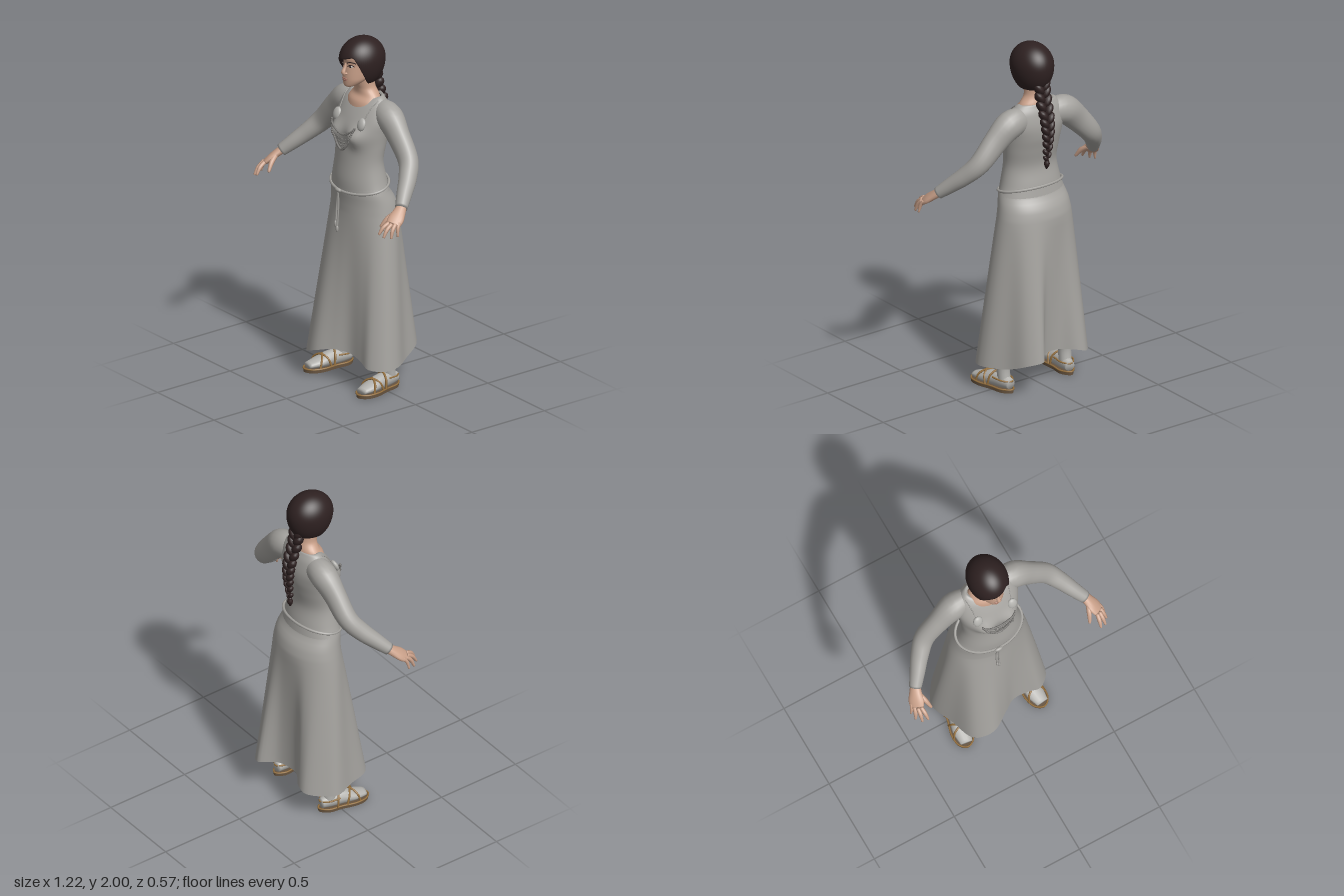
import * as THREE from 'three';

const mat = (name, color, side = THREE.FrontSide) => {
  const m = new THREE.MeshStandardMaterial({ color, side });
  m.name = name;
  return m;
};
const V = (x, y, z) => new THREE.Vector3(x, y, z);

// Smooth interpolation along a table of equally long number rows, t from 0 to 1
function sample(rows, t) {
  const f = Math.min(Math.max(t, 0), 1) * (rows.length - 1);
  const i = Math.min(Math.floor(f), rows.length - 2), u = f - i;
  const p = k => rows[Math.min(Math.max(k, 0), rows.length - 1)];
  return rows[i].map((b, k) => {
    const a = p(i - 1)[k], c = p(i + 1)[k], d = p(i + 2)[k];
    return b + 0.5 * u * (c - a + u * (2 * a - 5 * b + 4 * c - d + u * (3 * (b - c) + d - a)));
  });
}

// Surface through closed rings of points
function skin(rings, capped = true) {
  const n = rings[0].length, pts = rings.flat(), idx = [];
  for (let j = 0; j < rings.length - 1; j++) for (let i = 0; i < n; i++) {
    const a = j * n + i, b = j * n + (i + 1) % n;
    idx.push(a, b, a + n, b, b + n, a + n);
  }
  const cap = (j, flip) => {
    const c = V(0, 0, 0);
    rings[j].forEach(p => c.addScaledVector(p, 1 / n));
    for (let i = 0; i < n; i++) {
      const a = j * n + i, b = j * n + (i + 1) % n;
      idx.push(pts.length, flip ? b : a, flip ? a : b);
    }
    pts.push(c);
  };
  if (capped) {
    cap(0, true);
    cap(rings.length - 1, false);
  }
  const g = new THREE.BufferGeometry().setFromPoints(pts);
  g.setIndex(idx);
  g.computeVertexNormals();
  return g;
}

// Upright body from rows [y, halfWidth, zFront, zBack, frontDip]
const bodyRing = ([y, w, f, b, dip = 0], n, bump) => Array.from({ length: n }, (_, i) => {
  const a = i / n * Math.PI * 2, c = Math.cos(a);
  const p = V(w * Math.sin(a), y - dip * Math.max(0, c) ** 2, (f + b) / 2 + (f - b) / 2 * c);
  if (bump && c > 0) p.z += bump(p.x, p.y);
  return p;
});
const body = (rows, n, steps, bump, capped) =>
  skin(Array.from({ length: steps + 1 }, (_, j) => bodyRing(sample(rows, j / steps), n, bump)), capped);
function frontZ(rows, x, y, bump) {
  let lo = 0, hi = 1;
  for (let k = 0; k < 20; k++) { const m = (lo + hi) / 2; if (sample(rows, m)[0] < y) lo = m; else hi = m; }
  const [, w, f, b] = sample(rows, lo);
  return (f + b) / 2 + (f - b) / 2 * Math.sqrt(Math.max(0, 1 - (x / w) ** 2)) + (bump ? bump(x, y) : 0);
}

// Swept limb from rows [x, y, z, radius along ref, radius across]
function limb(rows, ref = V(0, 0, 1), n = 14, steps = 16) {
  const full = rows.map(r => r.length < 5 ? [...r, r[3]] : r), rings = [];
  const at = t => V(...sample(full, t).slice(0, 3));
  for (let j = 0; j <= steps; j++) {
    const t = j / steps, [, , , rN, rB] = sample(full, t);
    const T = at(t + 0.01).sub(at(t - 0.01)).normalize();
    const N = ref.clone().addScaledVector(T, -ref.dot(T)).normalize(), B = T.clone().cross(N);
    rings.push(Array.from({ length: n }, (_, i) => {
      const a = i / n * Math.PI * 2;
      return at(t).addScaledVector(N, rN * Math.cos(a)).addScaledVector(B, rB * Math.sin(a));
    }));
  }
  return skin(rings);
}
const tube = (pts, r, closed = false, seg = 32) =>
  new THREE.TubeGeometry(new THREE.CatmullRomCurve3(pts, closed), seg, r, 6, closed);

export function createModel() {
  const root = new THREE.Group();
  const gown = mat('grey cloth', 0xa5a39f, THREE.DoubleSide), flesh = mat('skin', 0xc9a089);
  const hairM = mat('dark brown hair', 0x2e2121, THREE.DoubleSide), chainM = mat('dull metal', 0x7a7875);
  const pale = mat('pale wool', 0xb2b1ad), leather = mat('tan leather', 0x96713f);
  const soleM = mat('brown leather', 0x66533f), white = mat('eye white', 0xd6cec6), lip = mat('lips', 0xa97668);
  const add = (name, geo, m, parent = root) => {
    const o = new THREE.Mesh(geo, m);
    o.name = name;
    parent.add(o);
    return o;
  };
  const group = name => {
    const g = new THREE.Group();
    g.name = name;
    root.add(g);
    return g;
  };
  const ball = (name, m, p, s, parent = root, seg = 16) => {
    const o = add(name, new THREE.SphereGeometry(1, seg, Math.ceil(seg * 0.6)), m, parent);
    o.position.set(...p);
    o.scale.set(...s);
    return o;
  };

  // Bodice with a scooped neckline
  const torso = [[1.13, .2, .12, -.14, 0], [1.2, .18, .119, -.128, 0], [1.3, .163, .108, -.112, 0], [1.4, .17, .1, -.13, 0],
    [1.48, .18, .1, -.148, 0], [1.55, .188, .073, -.152, 0], [1.62, .17, .035, -.14, .005], [1.66, .135, .01, -.125, .02],
    [1.673, .112, -.002, -.118, .035], [1.665, .098, -.012, -.108, .035]];
  const bust = (x, y) => .036 * Math.exp(-(((Math.abs(x) - .085) / .05) ** 2) - ((y - 1.455) / .055) ** 2);
  add('bodice', body(torso, 48, 54, bust, false), gown);

  // Skirt blending from waist and hips to an uneven hem, points [x, z, y]
  const hem = new THREE.CatmullRomCurve3([[0, .18, .21], [.08, .13, .2], [.17, .125, .18], [.25, .13, .155],
    [.32, .06, .15], [.32, -.02, .155], [.25, -.13, .16], [.2, -.24, .2], [.12, -.285, .22], [.05, -.2, .22],
    [-.07, -.17, .21], [-.16, -.22, .2], [-.22, -.22, .18], [-.29, -.14, .165], [-.32, -.07, .16], [-.27, .06, .155],
    [-.21, .2, .145], [-.1, .235, .185]].map(([x, z, y]) => V(x, y, z)), true);
  const N = 90, hemRing = Array.from({ length: N }, (_, i) => hem.getPoint(i / N));
  const waist = [[1.0, .228, .115, -.195], [1.07, .215, .115, -.178], [1.13, .2, .12, -.14], [1.17, .187, .119, -.13]];
  const hip = bodyRing(waist[0], N), skirt = [];
  for (let j = 0; j < 16; j++) skirt.push(hemRing.map((p, i) => {
    const f = j / 16, w = 1 - (1 - f) ** .88, h = hip[i];
    return V(p.x + (h.x - p.x) * w, p.y + (h.y - p.y) * f, p.z + (h.z - p.z) * f);
  }));
  for (let j = 0; j <= 8; j++) skirt.push(bodyRing(sample(waist, j / 8), N));
  add('skirt', skin(skirt, false), gown);

  // Cord belt, knot and hanging ends
  const beltPts = Array.from({ length: 24 }, (_, i) => {
    const a = i / 24 * Math.PI * 2, c = Math.cos(a);
    return V(.196 * Math.sin(a), 1.16 - .03 * c, -.006 + .131 * c);
  });
  add('belt', tube(beltPts, .008, true, 80), gown);
  ball('beltKnot', gown, [-.015, 1.13, .132], [.024, .012, .011]);
  [[-.028, .93], [-.014, .905]].forEach(([x, y]) => {
    add('beltEnd', tube([V(-.015, 1.13, .135), V(x, 1.06, .13), V(x, y, .139)], .005), gown);
    ball('beltTassel', gown, [x, y, .14], [.008, .02, .008]);
  });

  for (const s of [1, -1]) {
    // Sleeve
    add('sleeve', limb([[.1, 1.58, -.066, .058, .075], [.185, 1.573, -.066, .074, .081], [.275, 1.495, -.058, .06, .072],
      [.375, 1.387, -.047, .055, .06], [.435, 1.315, .003, .051, .05], [.487, 1.25, .068, .043, .042],
      [.53, 1.197, .122, .034, .035]].map(([x, ...r]) => [x * s, ...r]), V(0, 0, 1), 20, 30), gown);

    // Hand with fingers
    const hand = group(s > 0 ? 'leftHand' : 'rightHand');
    add('palm', limb([[.524, 1.205, .112, .028, .024], [.54, 1.182, .142, .035, .022], [.556, 1.155, .178, .044, .019],
      [.567, 1.133, .207, .039, .014]].map(([x, ...r]) => [x * s, ...r]), V(-.55 * s, .1, .6)), flesh, hand);
    [[.585, 1.142, .178, .604, 1.073, .203], [.58, 1.138, .2, .596, 1.068, .243], [.567, 1.138, .216, .572, 1.074, .276],
      [.55, 1.142, .222, .54, 1.085, .284], [.528, 1.178, .16, .495, 1.105, .237]].forEach(([a, b, c, x, y, z], k) => {
      const r = k === 4 ? .014 : k === 0 ? .01 : .0115;
      add(k === 4 ? 'thumb' : 'finger', limb([[a * s, b, c, r], [(a + x) / 2 * s, (b + y) / 2 + .008, (c + z) / 2 + .005, r],
        [x * s, y, z, r * .55]], V(1, 0, 0), 8, 8), flesh, hand);
    });

    // Leg, foot and strapped sandal
    const leg = group(s > 0 ? 'leftLeg' : 'rightLeg');
    leg.position.x = s * .215;
    leg.rotation.y = s * .13;
    add('stocking', limb([[0, .05, -.05, .036], [0, .12, -.04, .037], [0, .2, -.038, .044], [0, .4, -.03, .058],
      [-.06 * s, .85, -.03, .07]]), pale, leg);
    add('foot', limb([[0, .048, -.1, .028, .028], [0, .055, -.045, .038, .042], [0, .053, .03, .043, .042],
      [0, .042, .1, .05, .03], [0, .034, .172, .034, .016]], V(1, 0, 0)), pale, leg);
    const edge = [[0, .192], [.042, .165], [.058, .1], [.046, .01], [.04, -.07], [0, -.113], [-.04, -.07], [-.046, .01],
      [-.058, .1], [-.042, .165]].map(([x, z]) => V(x, .02, z));
    const outline = new THREE.CatmullRomCurve3(edge, true).getPoints(48).slice(0, -1);
    const sole = new THREE.ExtrudeGeometry(new THREE.Shape(outline.map(p => new THREE.Vector2(p.x, p.z))),
      { depth: .018, bevelEnabled: false });
    sole.rotateX(Math.PI / 2).translate(0, .018, 0);
    add('sole', sole, soleM, leg);
    add('sandalRim', tube(edge, .005, true, 60), leather, leg);
    [[.12, .05, .085], [.04, .12, .085], [-.02, .03, .102]].forEach(([z0, z1, h]) =>
      add('sandalStrap', tube([V(-.052, .022, z0), V(-.041, h * .76, z0 * .8 + z1 * .2), V(0, h, (z0 + z1) / 2),
        V(.041, h * .76, z0 * .2 + z1 * .8), V(.052, .022, z1)], .006), leather, leg));
    add('heelStrap', tube([V(-.044, .075, 0), V(-.038, .07, -.07), V(0, .066, -.105), V(.038, .07, -.07), V(.044, .075, 0)],
      .005), leather, leg);

    // Brooch and shoulder strap
    ball('brooch', pale, [s * .107, 1.537, frontZ(torso, .107, 1.537, bust) + .005], [.029, .037, .016]).rotation.x = -.35;
    add('shoulderStrap', tube([1.555, 1.6, 1.635, 1.66].map((y, k) => {
      const x = .11 + k * .006;
      return V(s * x, y, frontZ(torso, x, y, bust) + .001);
    }), .003), gown);
  }

  // Beaded chains between the brooches
  const chain = (name, w, top, low, r, count) => {
    for (let i = 0; i <= count; i++) {
      const u = i / count * 2 - 1, x = u * w, y = low + (top - low) * Math.abs(u) ** 1.8;
      ball(name, chainM, [x, y, Math.max(frontZ(torso, x, y, bust), .118) * (1 - .12 * u ** 8) + .005], [r, r, r], root, 8);
    }
  };
  chain('longChain', .1, 1.52, 1.372, .0068, 42);
  chain('shortChain', .1, 1.515, 1.462, .006, 34);
  [[.045, 1.435], [.038, 1.415], [.026, 1.397]].forEach(([w, y]) => chain('beadRow', w, y + .008, y, .0035, 8));

  // Neck and head
  add('neck', body([[1.58, .13, .045, -.12], [1.635, .112, .034, -.112], [1.668, .094, .01, -.108], [1.7, .065, .008, -.1],
    [1.73, .056, .015, -.095], [1.79, .056, .03, -.095]], 28, 20), flesh);
  const head = [[1.733, .02, .086, .045], [1.742, .038, .096, .01], [1.77, .062, .099, -.05], [1.8, .071, .099, -.09],
    [1.84, .076, .095, -.11], [1.87, .079, .092, -.12], [1.91, .08, .1, -.12], [1.95, .068, .08, -.1], [1.975, .03, .03, -.06]];
  add('head', body(head, 36, 32), flesh);
  add('nose', limb([[0, 1.872, .086, .007], [0, 1.845, .098, .009], [0, 1.822, .108, .013, .012], [0, 1.81, .101, .014, .008]],
    V(1, 0, 0), 12, 12), flesh);
  for (const s of [1, -1]) {
    const onFace = (x, y, d) => [s * x, y, frontZ(head, x, y) + d];
    ball('nostril', flesh, onFace(.012, 1.815, .001), [.007, .007, .009]);
    ball('eye', white, onFace(.033, 1.858, -.001), [.015, .007, .004]).rotation.y = s * .3;
    ball('iris', hairM, onFace(.032, 1.858, .002), [.0065, .0065, .003]).rotation.y = s * .3;
    add('eyelid', tube([onFace(.017, 1.857, .002), onFace(.033, 1.867, .003), onFace(.05, 1.859, .001)].map(p => V(...p)),
      .0025, false, 12), hairM);
    add('eyebrow', tube([onFace(.014, 1.877, .001), onFace(.035, 1.885, .001), onFace(.056, 1.877, 0)].map(p => V(...p)),
      .003, false, 12), hairM);
  }
  ball('upperLip', lip, [0, 1.785, .098], [.022, .005, .006]);
  ball('lowerLip', lip, [0, 1.776, .098], [.018, .006, .006]);

  // Hair cap with a swept fringe, swept back past the cheeks; its edge tucks inward
  const hairRings = [], H = 72;
  for (let j = 26; j >= 0; j--) hairRings.push(Array.from({ length: H }, (_, i) => {
    const a = (i / H * 2 - 1) * Math.PI, k = THREE.MathUtils.smoothstep(Math.abs(a), .5, 1.45);
    const low = THREE.MathUtils.lerp(1.898 + .035 * Math.sin(a), a > 0 ? 1.75 : 1.762, k);
    const yc = 1.875, end = Math.acos((low - yc) / (low > yc ? .125 : .165));
    const th = Math.min(j, 25) / 25 * end, r = Math.sin(th) * (j === 26 ? .82 : 1), c = Math.cos(th);
    return V(.113 * r * Math.sin(a), yc + c * (c > 0 ? .125 : .165), -.022 + .136 * r * Math.cos(a));
  }));
  add('hair', skin(hairRings, false), hairM);

  // Plaited braid down the back
  const braid = group('braid');
  const path = [[1.775, -.11], [1.69, -.125], [1.6, -.155], [1.52, -.168], [1.44, -.166], [1.36, -.157]];
  const count = 20;
  for (let i = 0; i < count; i++) {
    const t = i / (count - 1), [y, z] = sample(path, t), s = i % 2 ? 1 : -1, r = 1 - .55 * t * t;
    ball('braidStrand', hairM, [s * .021 * r, y, z], [.025 * r, .042 * r, .031 * r], braid, 12).rotation.z = -s * .6;
  }
  ball('braidTie', hairM, [0, 1.345, -.156], [.012, .014, .012], braid);
  add('braidTail', limb([[0, 1.35, -.156, .009], [0, 1.325, -.156, .016], [0, 1.295, -.153, .003]]), hairM, braid);

  return root;
}
